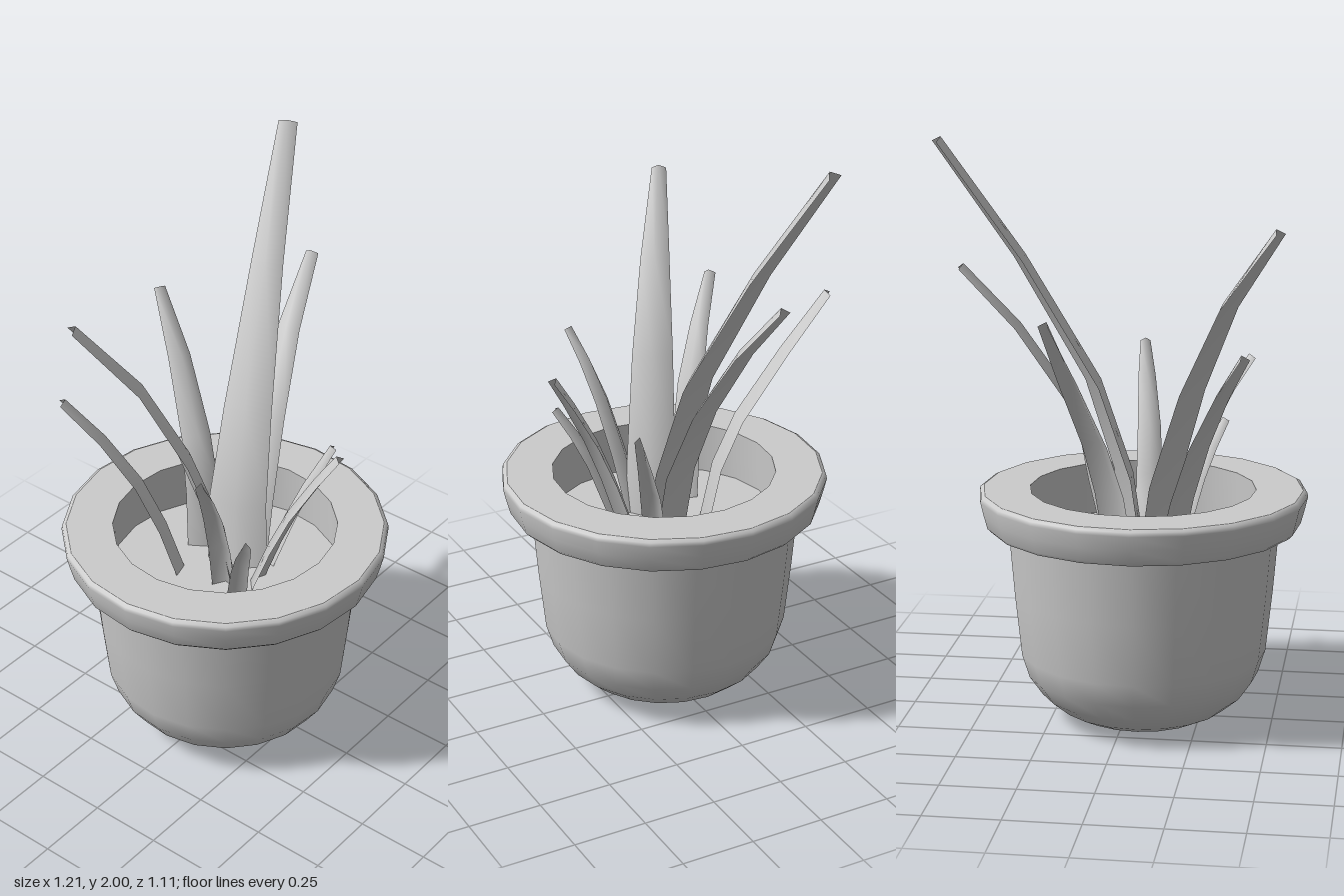
import * as THREE from 'three';

const material = new THREE.MeshStandardMaterial({ color: 0xcccccc });
const leafMaterial = new THREE.MeshStandardMaterial({ color: 0xcccccc, side: THREE.DoubleSide });

// Turned part of the pot; profile is a list of [radius, height]
function turned(name, profile) {
  const points = profile.map(([r, y]) => new THREE.Vector2(r, y));
  const mesh = new THREE.Mesh(new THREE.LatheGeometry(points, 20, THREE.MathUtils.degToRad(3)), material);
  mesh.name = name;
  return mesh;
}

// Channelled leaf: a shallow V section swept along a path, its ridge facing the pot centre.
// Each path entry is [x, y, z, width]
function leaf(name, path) {
  const centres = path.map(([x, y, z]) => new THREE.Vector3(x, y, z));
  const last = centres.length - 1;
  const outward = centres[last].clone().sub(centres[0]).setY(0).normalize();
  const side = new THREE.Vector3(-outward.z, 0, outward.x);
  const positions = [];
  const index = [];
  centres.forEach((c, i) => {
    const tangent = centres[Math.min(i + 1, last)].clone().sub(centres[Math.max(i - 1, 0)]).normalize();
    const ridge = side.clone().cross(tangent).normalize();
    if (ridge.dot(outward) > 0) ridge.negate();
    const width = path[i][3];
    const depth = 0.1 * width + 0.02;
    for (const k of [-1, 0, 1]) {
      const p = c.clone()
        .addScaledVector(side, k * width / 2)
        .addScaledVector(ridge, k === 0 ? depth / 2 : -depth / 2);
      positions.push(p.x, p.y, p.z);
    }
    if (i < last) {
      for (let k = 0; k < 2; k++) {
        const a = i * 3 + k;
        index.push(a, a + 3, a + 1, a + 1, a + 3, a + 4);
      }
    }
  });
  const geometry = new THREE.BufferGeometry();
  geometry.setAttribute('position', new THREE.Float32BufferAttribute(positions, 3));
  geometry.setIndex(index);
  geometry.computeVertexNormals();
  const mesh = new THREE.Mesh(geometry, leafMaterial);
  mesh.name = name;
  return mesh;
}

export function createModel() {
  const model = new THREE.Group();
  model.name = 'pottedPlant';

  // Pot with a rounded base and a heavy rim
  const pot = new THREE.Group();
  pot.name = 'pot';
  pot.position.x = -0.053;
  pot.add(
    turned('potBody', [[0, 0], [0.17, 0.002], [0.23, 0.015], [0.29, 0.045], [0.35, 0.095],
      [0.395, 0.16], [0.42, 0.24], [0.442, 0.45], [0.462, 0.69]]),
    turned('rimUnderside', [[0.45, 0.677], [0.52, 0.677]]),
    turned('rimBand', [[0.52, 0.677], [0.533, 0.69], [0.545, 0.735], [0.556, 0.782], [0.553, 0.796], [0.54, 0.803]]),
    turned('rimTop', [[0.54, 0.803], [0.382, 0.803]]),
    turned('innerWall', [[0.382, 0.803], [0.39, 0.62]]),
    turned('soil', [[0.39, 0.62], [0, 0.62]]),
  );
  model.add(pot);

  // Leaves fanning out of the soil
  const leaves = new THREE.Group();
  leaves.name = 'leaves';
  const paths = {
    tallLeaf: [[-0.03, 0.61, 0.03, 0.21], [0, 0.85, 0.005, 0.2], [0.1, 1.17, -0.03, 0.165],
      [0.33, 1.6, -0.13, 0.11], [0.58, 1.99, -0.24, 0.065]],
    leftwardLeaf: [[-0.08, 0.61, 0.04, 0.17], [-0.11, 0.82, 0.02, 0.165], [-0.21, 1.15, -0.04, 0.14],
      [-0.34, 1.45, -0.12, 0.1], [-0.515, 1.71, -0.23, 0.05]],
    sideLeaf: [[0.03, 0.61, 0.03, 0.13], [0.08, 0.85, 0.02, 0.13], [0.19, 1.1, -0.01, 0.11],
      [0.36, 1.36, -0.06, 0.08], [0.54, 1.56, -0.1, 0.045]],
    backLeaf: [[0, 0.61, -0.13, 0.12], [0.03, 0.82, -0.16, 0.12], [0.07, 1.0, -0.22, 0.105],
      [0.14, 1.24, -0.35, 0.08], [0.195, 1.44, -0.48, 0.04]],
    backCornerLeaf: [[-0.15, 0.61, -0.12, 0.11], [-0.195, 0.81, -0.16, 0.1], [-0.255, 1.0, -0.21, 0.09],
      [-0.335, 1.18, -0.29, 0.065], [-0.42, 1.33, -0.38, 0.04]],
    frontSideLeaf: [[-0.13, 0.61, 0.06, 0.08], [-0.19, 0.82, 0.09, 0.075], [-0.26, 1.0, 0.12, 0.065],
      [-0.33, 1.13, 0.15, 0.05], [-0.4, 1.23, 0.18, 0.03]],
    frontLeaf: [[-0.06, 0.61, 0.13, 0.1], [-0.05, 0.8, 0.2, 0.09], [-0.04, 0.96, 0.27, 0.08],
      [-0.02, 1.12, 0.36, 0.06], [-0.005, 1.23, 0.43, 0.035]],
    shortLeaf: [[0.06, 0.61, 0.09, 0.08], [0.12, 0.8, 0.14, 0.07], [0.16, 0.92, 0.18, 0.05], [0.225, 1.07, 0.24, 0.025]],
    shortestLeaf: [[-0.16, 0.61, 0.13, 0.07], [-0.215, 0.8, 0.19, 0.06], [-0.255, 0.9, 0.235, 0.05], [-0.3, 0.985, 0.285, 0.03]],
  };
  for (const [name, path] of Object.entries(paths)) leaves.add(leaf(name, path));
  model.add(leaves);

  return model;
}
